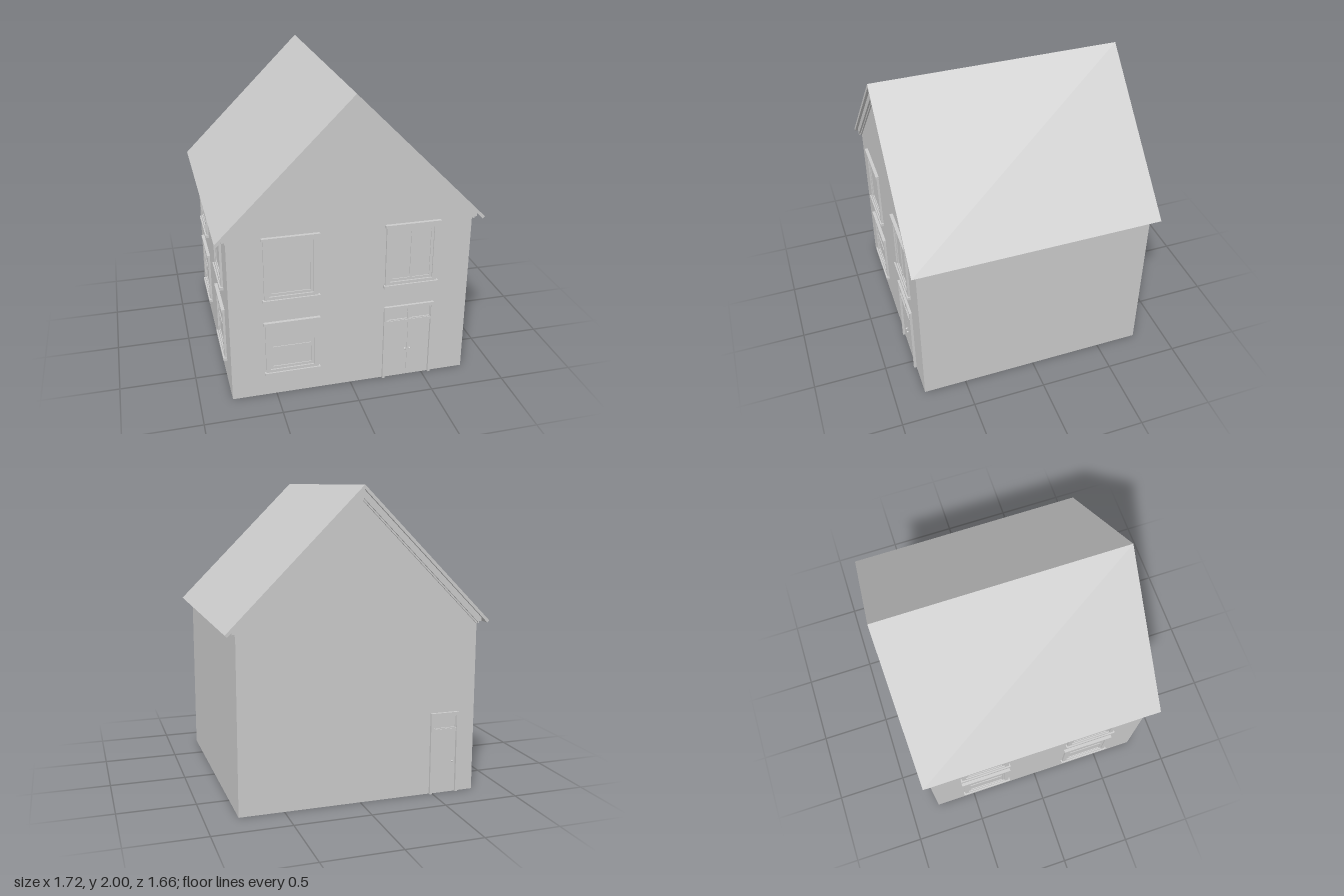
import * as THREE from 'three';

const HALF = 0.79;          // half width and depth of the walls
const EAVE = 1.18;          // wall height under the roof
const material = new THREE.MeshStandardMaterial({ color: 0xcccccc, side: THREE.DoubleSide });

function add(parent, name, geometry, x = 0, y = 0, z = 0) {
  const mesh = new THREE.Mesh(geometry, material);
  mesh.name = name;
  mesh.position.set(x, y, z);
  parent.add(mesh);
  return mesh;
}

// Box given by its x, y and z ranges
function box(parent, name, x0, x1, y0, y1, z0, z1) {
  return add(parent, name, new THREE.BoxGeometry(x1 - x0, y1 - y0, z1 - z0),
    (x0 + x1) / 2, (y0 + y1) / 2, (z0 + z1) / 2);
}

function polygon(points, Type = THREE.Shape) {
  return new Type(points.map(([x, y]) => new THREE.Vector2(x, y)));
}

function rect(x0, x1, y0, y1, Type = THREE.Path) {
  return polygon([[x0, y0], [x0, y1], [x1, y1], [x1, y0]], Type);
}

// Rectangular frame with a hole, from z0 to z1
function frame(parent, name, x0, x1, y0, y1, t, z0, z1) {
  const shape = rect(x0, x1, y0, y1, THREE.Shape);
  shape.holes.push(rect(x0 + t, x1 - t, y0 + t, y1 - t));
  add(parent, name, new THREE.ExtrudeGeometry(shape, { depth: z1 - z0, bevelEnabled: false }), 0, 0, z0);
}

// Window seen from outside; z = 0 is the wall plane
function makeWindow({ x, y0, y1, bar }) {
  const g = new THREE.Group();
  g.name = 'window';
  g.position.x = x;
  const w = 0.173;
  frame(g, 'casing', -w, w, y0 + 0.01, y1 - 0.01, 0.03, -0.015, 0.015);
  box(g, 'sill', -w - 0.01, w + 0.01, y0, y0 + 0.02, -0.02, 0.025);
  box(g, 'lintel', -w - 0.01, w + 0.01, y1 - 0.018, y1, -0.02, 0.022);
  frame(g, 'sash', -w + 0.03, w - 0.03, y0 + 0.04, y1 - 0.04, 0.018, -0.01, 0.006);
  box(g, 'pane', -w + 0.045, w - 0.045, y0 + 0.055, y1 - 0.055, -0.004, 0);
  const mid = (y0 + y1) / 2;
  if (bar === 'across') box(g, 'meetingRail', -w + 0.045, w - 0.045, mid - 0.008, mid + 0.008, -0.008, 0.005);
  if (bar === 'upright') box(g, 'mullion', -0.008, 0.008, y0 + 0.055, y1 - 0.055, -0.008, 0.006);
  return g;
}

// Door with a transom light above; one or two leaves
function makeDoor({ x, half, leaves }) {
  const g = new THREE.Group();
  g.name = 'door';
  g.position.x = x;
  const inner = half - 0.017, top = 0.545;
  for (const s of [-1, 1]) {
    box(g, 'jamb', Math.min(s * half, s * inner), Math.max(s * half, s * inner), 0, top, -0.015, 0.017);
  }
  box(g, 'head', -inner, inner, 0.522, top, -0.015, 0.017);
  box(g, 'transomRail', -inner, inner, 0.415, 0.435, -0.015, 0.012);
  const step = 2 * inner / leaves;
  for (let i = 0; i < leaves; i++) {
    const a = -inner + i * step, b = a + step;
    box(g, 'leaf', a + 0.001, b - 0.001, 0, 0.415, -0.008, 0.002);
    frame(g, 'transomFrame', a, b, 0.435, 0.522, 0.007, -0.01, 0.008);
    box(g, 'transomPane', a + 0.007, b - 0.007, 0.442, 0.515, -0.004, 0);
  }
  const knobs = leaves === 2 ? [-0.016, 0.016] : [inner - 0.025];
  for (const k of knobs) {
    add(g, 'knob', new THREE.SphereGeometry(0.007, 12, 8), k, 0.21, 0.012);
    box(g, 'knobStem', k - 0.003, k + 0.003, 0.207, 0.213, 0, 0.01);
  }
  return g;
}

// One wall sheet with its openings, turned to face outward
function makeWall(name, angle, gable, windows = [], doors = []) {
  const g = new THREE.Group();
  g.name = name;
  const outline = [[-HALF, 0], [HALF, 0], [HALF, EAVE]];
  if (gable) outline.push([0, EAVE + HALF]);
  outline.push([-HALF, EAVE]);
  const shape = polygon(outline);
  for (const w of windows) {
    shape.holes.push(rect(w.x - 0.16, w.x + 0.16, w.y0 + 0.02, w.y1 - 0.02));
    g.add(makeWindow(w));
  }
  for (const d of doors) {
    shape.holes.push(rect(d.x - d.half + 0.008, d.x + d.half - 0.008, 0.0005, 0.535));
    g.add(makeDoor(d));
  }
  add(g, 'wallSheet', new THREE.ShapeGeometry(shape));
  g.rotation.y = angle;
  g.position.set(Math.sin(angle) * HALF, 0, Math.cos(angle) * HALF);
  return g;
}

// Chevron of the roof slope, extruded along z
function chevron(parent, name, outerTop, innerTop, outerX, innerX, z0, z1) {
  const shape = polygon([
    [0, outerTop], [-outerX, outerTop - outerX], [-innerX, innerTop - innerX],
    [0, innerTop], [innerX, innerTop - innerX], [outerX, outerTop - outerX],
  ]);
  add(parent, name, new THREE.ExtrudeGeometry(shape, { depth: z1 - z0, bevelEnabled: false }), 0, 0, z0);
}

export function createModel() {
  const house = new THREE.Group();
  house.name = 'house';

  // Walls, open at the bottom
  const upper = { y0: 0.69, y1: 1.135 }, lower = { y0: 0.155, y1: 0.545 }, X = 0.393;
  house.add(makeWall('frontWall', 0, true,
    [{ x: -X, ...upper }, { x: X, ...upper, bar: 'upright' }, { x: -X, ...lower, bar: 'across' }],
    [{ x: 0.39, half: 0.17, leaves: 2 }]));
  house.add(makeWall('backWall', Math.PI, true, [], [{ x: 0.58, half: 0.1, leaves: 1 }]));
  house.add(makeWall('leftWall', Math.PI / 2, false));
  house.add(makeWall('rightWall', -Math.PI / 2, false,
    [-X, X].flatMap((x) => [{ x, ...upper }, { x, ...lower, bar: 'across' }])));

  // Roof slab
  const roof = new THREE.Group();
  roof.name = 'roof';
  house.add(roof);
  chevron(roof, 'roofSlab', 2, 1.973, 0.86, 0.846, -0.83, 0.83);

  // Stepped bargeboards on both gables
  for (const s of [-1, 1]) {
    const range = (a, b) => (s > 0 ? [a, b] : [-b, -a]);
    chevron(roof, 'bargeboard', 1.973, 1.92, 0.815, 0.79, ...range(HALF, 0.812));
    chevron(roof, 'bargeMoulding', 1.92, 1.906, 0.79, 0.785, ...range(HALF, 0.8));
  }

  // Stepped moulding under each eave
  for (const s of [-1, 1]) {
    const profile = polygon([[0.79, 1.125], [0.797, 1.125], [0.797, 1.137], [0.815, 1.137], [0.815, 1.158], [0.79, 1.183]]
      .map(([x, y]) => [s * x, y]));
    add(roof, 'eaveMoulding',
      new THREE.ExtrudeGeometry(profile, { depth: 1.62, bevelEnabled: false }), 0, 0, -0.81);
  }
  return house;
}
